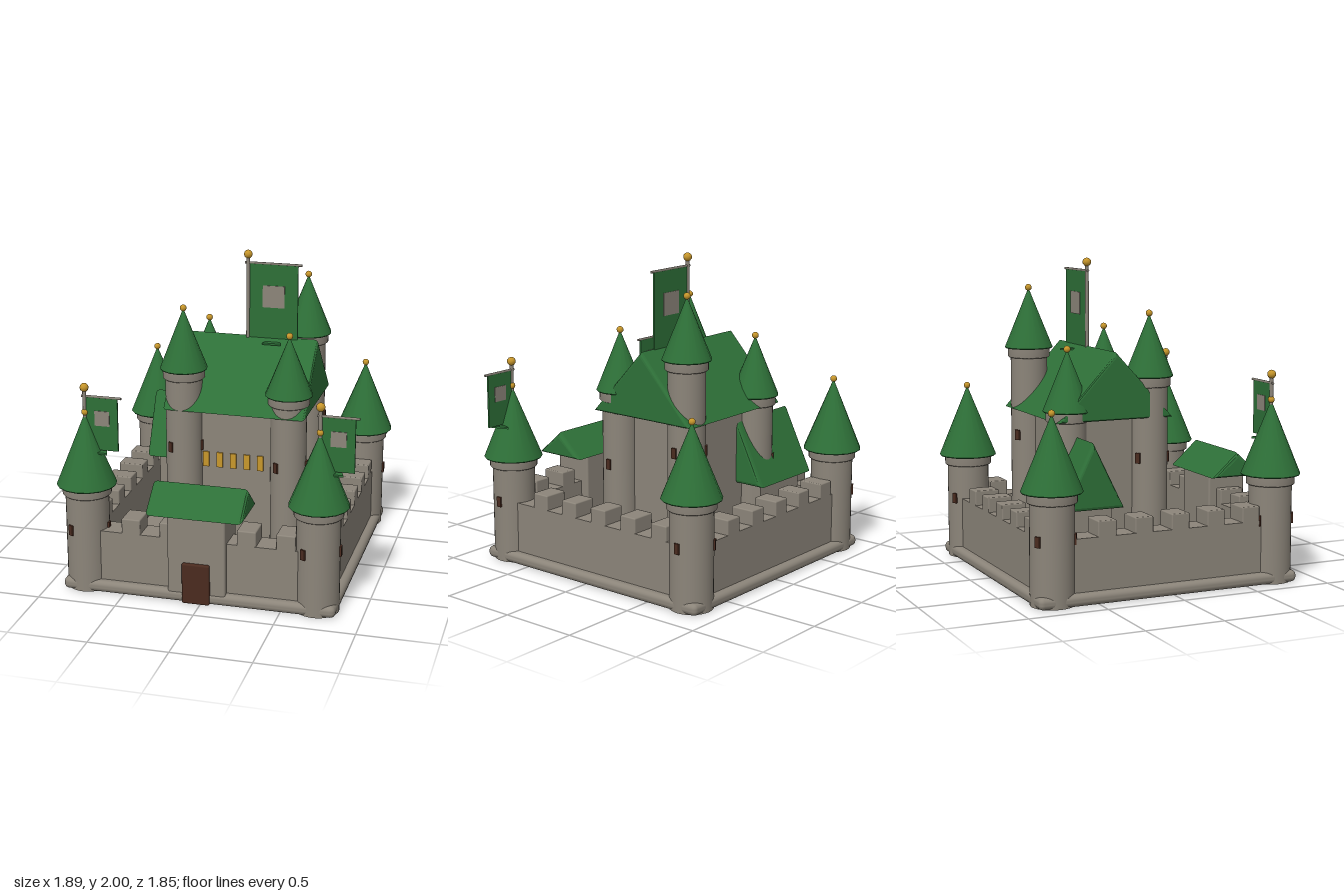
import * as THREE from 'three';
import { RoundedBoxGeometry } from 'three/addons/geometries/RoundedBoxGeometry.js';

const mat = (name, color) => {
  const m = new THREE.MeshStandardMaterial({ color });
  m.name = name;
  return m;
};

export function createModel() {
  const stone = mat('stone', 0x8c857a);
  const green = mat('roof green', 0x2e7038);
  const wood = mat('dark wood', 0x4a2b1f);
  const gold = mat('gold', 0xc9982c);
  const castle = new THREE.Group();
  castle.name = 'castle';

  const add = (parent, name, geometry, material, x = 0, y = 0, z = 0) => {
    const mesh = new THREE.Mesh(geometry, material);
    mesh.name = name;
    mesh.position.set(x, y, z);
    parent.add(mesh);
    return mesh;
  };
  const group = (name, x = 0, y = 0, z = 0) => {
    const g = new THREE.Group();
    g.name = name;
    g.position.set(x, y, z);
    castle.add(g);
    return g;
  };
  // Box given by its limits, with softened edges when r > 0
  const block = (parent, name, material, [x0, x1], [y0, y1], [z0, z1], r = 0) => {
    const size = [x1 - x0, y1 - y0, z1 - z0];
    const geo = r ? new RoundedBoxGeometry(...size, 2, r) : new THREE.BoxGeometry(...size);
    return add(parent, name, geo, material, (x0 + x1) / 2, (y0 + y1) / 2, (z0 + z1) / 2);
  };

  // Gable roof with its ridge along x and bevelled edges
  const gable = (name, [x0, x1], [y0, y1], zc, half, bevel) => {
    const h = y1 - y0;
    const r = (half * h) / (half + Math.hypot(half, h));
    const k = (r - bevel) / r;
    const shape = new THREE.Shape([[-half, 0], [half, 0], [0, h]]
      .map(([x, y]) => new THREE.Vector2(x * k, r + (y - r) * k)));
    const depth = x1 - x0 - 2 * bevel;
    const geo = new THREE.ExtrudeGeometry(shape, {
      depth, bevelEnabled: true, bevelSize: bevel, bevelThickness: bevel, bevelSegments: 3,
    });
    geo.translate(0, 0, -depth / 2).rotateY(Math.PI / 2);
    return add(castle, name, geo, green, (x0 + x1) / 2, y0, zc);
  };

  // Round tower: shaft, collar, cone roof, gold ball and three slit windows
  const tower = (name, x, z, r, roofR, roofY, roofH, windowY) => {
    const g = group(name, x, 0, z);
    const top = roofY - 0.03;
    add(g, 'shaft', new THREE.CylinderGeometry(r, r, top, 32), stone, 0, top / 2, 0);
    const collarR = r + 0.017;
    add(g, 'collar', new THREE.LatheGeometry([[r - 0.01, -0.06], [collarR - 0.006, -0.06],
      [collarR, -0.054], [collarR, 0.005]].map(([a, b]) => new THREE.Vector2(a, b)), 32), stone, 0, roofY, 0);
    add(g, 'roof', new THREE.LatheGeometry([[0, 0], [roofR - 0.004, 0], [roofR - 0.004, 0],
      [roofR, 0.006], [roofR, 0.006], [0.004, roofH]].map(([a, b]) => new THREE.Vector2(a, b)), 16),
    green, 0, roofY, 0);
    add(g, 'finial', new THREE.IcosahedronGeometry(0.022, 1), gold, 0, roofY + roofH + 0.012, 0);
    for (let i = 0; i < 3; i++) {
      const a = (i * Math.PI * 2) / 3;
      const slit = add(g, 'slitWindow', new THREE.BoxGeometry(0.02, 0.066, 0.033), wood,
        Math.cos(a) * r, windowY, Math.sin(a) * r);
      slit.rotation.y = -a;
    }
  };

  // Banner on a pole: crossbar, cloth, square emblem panel and flat tail
  const banner = (name, x, y, z, footY, w, h, squareSize, squareY) => {
    const g = group(name, x, 0, z);
    const pole = y - footY;
    add(g, 'pole', new THREE.CylinderGeometry(0.012, 0.012, pole, 10), stone, 0, footY + pole / 2, 0);
    add(g, 'poleBall', new THREE.IcosahedronGeometry(0.028, 1), gold, 0, y + 0.02, 0);
    const barY = y - 0.035;
    const bar = add(g, 'crossbar', new THREE.CylinderGeometry(0.008, 0.008, w + 0.055, 8), stone,
      w / 2 + 0.008, barY, 0);
    bar.rotation.z = Math.PI / 2;
    const cx = 0.012 + w / 2;
    add(g, 'cloth', new THREE.BoxGeometry(w, h, 0.012), green, cx, barY - h / 2, 0);
    add(g, 'clothSquare', new THREE.BoxGeometry(squareSize, squareSize, 0.02), stone, cx, squareY, 0);
    const s = w / 0.31;
    const tail = new THREE.Shape([new THREE.Vector2(-0.06 * s, -0.06 * s),
      new THREE.Vector2(0.06 * s, -0.06 * s), new THREE.Vector2(0, 0.115 * s)]);
    const geo = new THREE.ExtrudeGeometry(tail, { depth: 0.012, bevelEnabled: false });
    geo.rotateX(-Math.PI / 2);
    add(g, 'clothTail', geo, green, cx, barY - h - 0.018, 0);
  };

  // Plinth and curtain walls
  const L = -0.762, R = 0.708, F = 0.717, B = -0.755, T = 0.081;
  block(castle, 'plinth', stone, [-0.893, 0.84], [0, 0.075], [-0.887, 0.846], 0.032);
  for (const z of [F, B]) block(castle, 'curtainWall', stone, [L, R], [0.02, 0.4], [z - T, z + T]);
  for (const x of [L, R]) block(castle, 'curtainWall', stone, [x - T, x + T], [0.02, 0.4], [B, F]);

  // Battlements, staggered between facing walls
  for (let i = 0; i < 5; i++) {
    const merlon = (x, z, w, d) =>
      block(castle, 'merlon', stone, [x - w, x + w], [0.39, 0.495], [z - d, z + d], 0.008);
    merlon(-0.456 + i * 0.245, F, 0.06, T);
    merlon(-0.579 + i * 0.245, B, 0.06, T);
    merlon(L, -0.433 + i * 0.243, T, 0.06);
    merlon(R, -0.566 + i * 0.243, T, 0.06);
  }

  // Corner towers
  for (const x of [L, R]) for (const z of [F, B]) {
    tower('cornerTower', x, z, 0.135, 0.187, 0.675, 0.455, 0.4);
  }

  // Gatehouse
  block(castle, 'gatehouse', stone, [-0.21, 0.156], [0.02, 0.6], [0.58, 0.838], 0.012);
  gable('gatehouseRoof', [-0.33, 0.28], [0.565, 0.742], 0.727, 0.225, 0.03);
  block(castle, 'door', wood, [-0.115, 0.06], [0.002, 0.266], [0.8, 0.86], 0.01);

  // Keep
  block(castle, 'keep', stone, [-0.318, 0.375], [0.03, 1.04], [-0.45, 0.09]);
  gable('keepRoof', [-0.426, 0.5], [1.01, 1.442], -0.18, 0.41, 0.022);
  tower('keepTower', -0.317, 0.09, 0.118, 0.153, 1.27, 0.385, 0.765);
  tower('keepTower', 0.373, 0.09, 0.115, 0.152, 1.145, 0.375, 0.685);
  tower('keepTower', 0.373, -0.445, 0.118, 0.155, 1.41, 0.38, 0.85);
  tower('keepTower', -0.3, -0.46, 0.118, 0.153, 1.075, 0.375, 0.66);
  for (let i = 0; i < 5; i++) {
    const x = -0.17 + i * 0.09;
    block(castle, 'goldWindow', gold, [x - 0.02, x + 0.02], [0.62, 0.72], [0.085, 0.1]);
  }

  // Side wing
  block(castle, 'sideWing', stone, [-0.61, -0.2], [0.03, 0.55], [-0.59, -0.3]);
  gable('sideWingRoof', [-0.68, -0.125], [0.515, 0.955], -0.445, 0.215, 0.028);

  // Banners
  banner('keepBanner', 0.037, 1.955, -0.178, 1.4, 0.315, 0.5, 0.143, 1.707);
  for (const x of [L, R]) banner('towerBanner', x, 1.28, F, 1.05, 0.2, 0.34, 0.095, 1.11);

  return castle;
}
